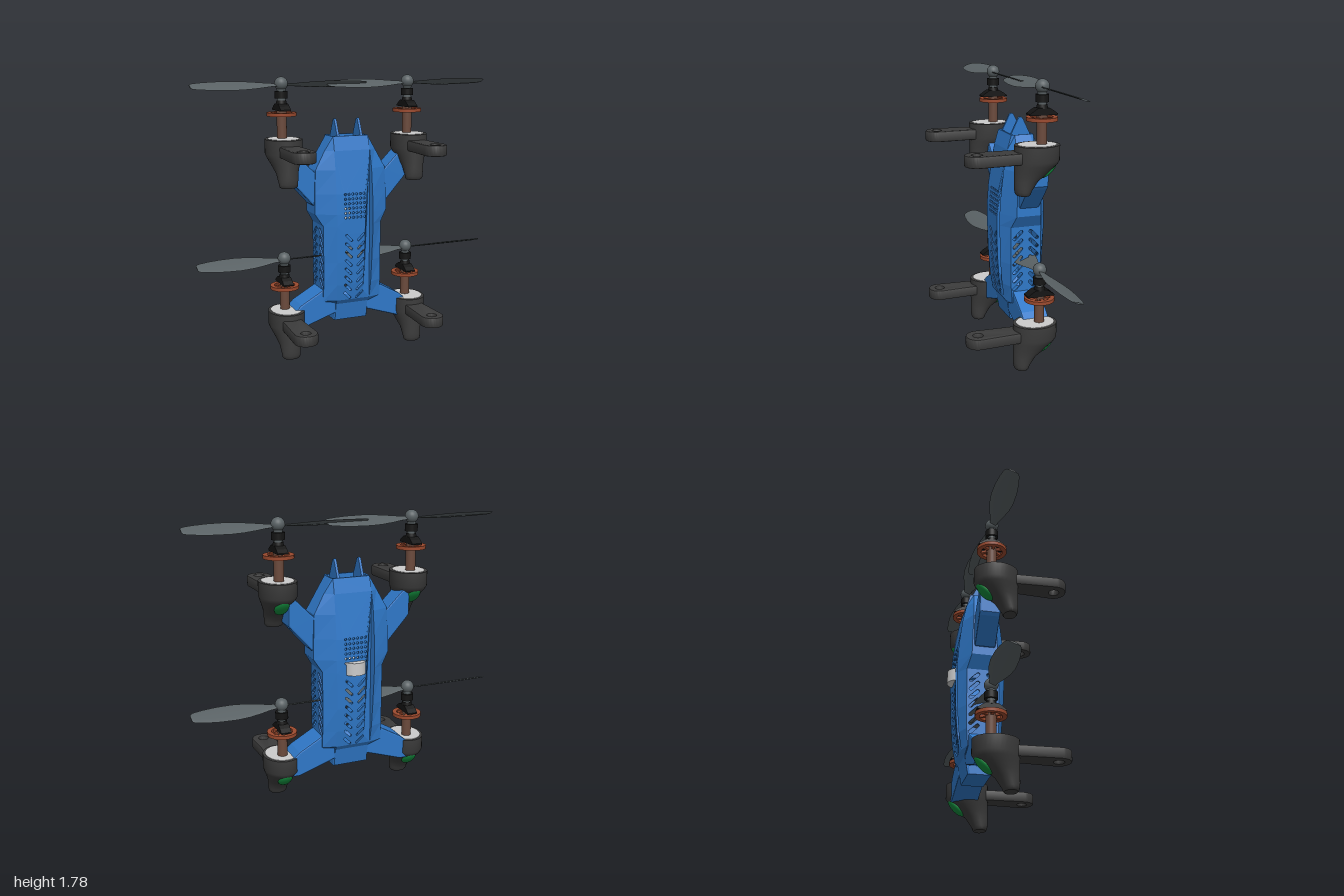
import * as THREE from 'three';
import { toCreasedNormals } from 'three/addons/utils/BufferGeometryUtils.js';

const mat = (color, double) => new THREE.MeshStandardMaterial({ color, side: double ? THREE.DoubleSide : THREE.FrontSide });
const BLUE = mat(0x2f78c8, true), DARK = mat(0x3c3c3c), BROWN = mat(0x6b4a3c), COPPER = mat(0x9c4a2e),
  BLACK = mat(0x141414), SLATE = mat(0x596164, true), GREEN = mat(0x128a3c), GREY = mat(0xcccccc);
const ZC = -0.145; // depth of the body and rotor centre plane

function add(parent, name, geo, material, x = 0, y = 0, z = 0) {
  const m = new THREE.Mesh(geo, material);
  m.name = name;
  m.position.set(x, y, z);
  parent.add(m);
  return m;
}

// Skin between rings of [x, y, z] points, with end caps; skip(i, j) leaves a face out
function loft(rings, crease = 0, skip = () => false) {
  const pos = [], n = rings[0].length;
  const tri = (...p) => p.forEach(q => pos.push(...q));
  for (let i = 0; i < rings.length - 1; i++) for (let j = 0; j < n; j++) {
    if (skip(i, j)) continue;
    const k = (j + 1) % n, A = rings[i], B = rings[i + 1];
    tri(A[j], A[k], B[k]);
    tri(A[j], B[k], B[j]);
  }
  const a = rings[0], b = rings[rings.length - 1];
  for (let j = 1; j < n - 1; j++) {
    tri(a[0], a[j + 1], a[j]);
    tri(b[0], b[j], b[j + 1]);
  }
  const g = new THREE.BufferGeometry();
  g.setAttribute('position', new THREE.Float32BufferAttribute(pos, 3));
  g.computeVertexNormals();
  return crease ? toCreasedNormals(g, crease) : g;
}

const shapeOf = pts => new THREE.Shape(pts.map(p => new THREE.Vector2(...p)));
const extrude = (shape, depth, bevel = 0) => new THREE.ExtrudeGeometry(shape, {
  depth, curveSegments: 16, bevelEnabled: bevel > 0, bevelSize: bevel, bevelThickness: bevel, bevelOffset: -bevel, bevelSegments: 2 });

// Hull sections: y, half width of flat face, half width, half depth of side, half depth
const HULL = [
  [0.195, 0.112, 0.118, 0.06, 0.07], [0.31, 0.112, 0.118, 0.07, 0.09], [0.34, 0.115, 0.2, 0.09, 0.112],
  [0.45, 0.118, 0.2, 0.097, 0.13], [0.6, 0.12, 0.2, 0.1, 0.142], [0.84, 0.125, 0.2, 0.1, 0.15],
  [0.92, 0.125, 0.25, 0.08, 0.149], [1.05, 0.125, 0.247, 0.076, 0.14], [1.2, 0.125, 0.24, 0.07, 0.122],
  [1.32, 0.122, 0.174, 0.06, 0.098], [1.41, 0.12, 0.125, 0.05, 0.072]];
function hullAt(y, col) {
  const i = Math.max(1, HULL.findIndex(s => s[0] >= y - 1e-6));
  const a = HULL[i - 1], b = HULL[i];
  return THREE.MathUtils.lerp(a[col], b[col], (y - a[0]) / (b[0] - a[0]));
}

// Rounded vent slot
function slot(cx, cy, angle, len, r) {
  const pts = [];
  for (const end of [0, 1]) for (let k = 0; k <= 4; k++) {
    const t = end * Math.PI - Math.PI / 2 + k * Math.PI / 4;
    const u = (end ? -1 : 1) * (len / 2 - r) + r * Math.cos(t), v = r * Math.sin(t);
    pts.push(new THREE.Vector2(cx + u * Math.cos(angle) - v * Math.sin(angle), cy + u * Math.sin(angle) + v * Math.cos(angle)));
  }
  return new THREE.Path(pts);
}

// Perforated panel that follows the hull: outline from column w, offset from column d
function panel(y0, y1, w, d, holes) {
  const ys = HULL.map(s => s[0]).filter(y => y >= y0 && y <= y1);
  const shape = shapeOf([...ys.map(y => [hullAt(y, w), y]), ...ys.reverse().map(y => [-hullAt(y, w), y])]);
  shape.holes.push(...holes);
  const g = extrude(shape, 0.012), p = g.attributes.position;
  for (let i = 0; i < p.count; i++) p.setZ(i, p.getZ(i) - 0.012 + hullAt(p.getY(i), d));
  g.computeVertexNormals();
  return g;
}

function createBody() {
  const body = new THREE.Group();
  body.name = 'body';
  body.position.z = ZC;
  const rings = HULL.map(([y, a, W, s, h]) => [[-a, y, h], [a, y, h], [W, y, s], [W, y, -s], [a, y, -h], [-a, y, -h], [-W, y, -s], [-W, y, s]]);
  // the top cap sits in a shallow recess
  rings.push(rings[rings.length - 1].map(([x, y, z]) => [x * 0.9, y - 0.002, z * 0.85]));
  rings.push(rings[rings.length - 1].map(([x, y, z]) => [x, y - 0.04, z]));
  add(body, 'hull', loft(rings, 0, (i, j) => i >= 2 && i < 10 && (j % 4 === 0 || (i < 5 && j % 4 === 2))), BLUE);

  // front and back plates with dot grille and chevron vents
  const vents = [];
  for (let r = 0; r < 6; r++) for (let c = 0; c < 6; c++) vents.push(slot((c - 2.5) * 0.026, 0.895 + r * 0.03, 0, 0.0165, 0.008));
  for (let r = 0; r < 8; r++) for (const s of [-1, 1]) vents.push(slot(s * 0.042, 0.37 + r * 0.056, s * Math.PI / 4, 0.068, 0.0075));
  const plate = panel(0.34, 1.41, 1, 4, vents);
  add(body, 'frontPlate', plate, BLUE);
  add(body, 'backPlate', plate, BLUE).rotation.y = Math.PI;

  // side panels with slanted vents
  const slats = [];
  for (let r = 0; r < 7; r++) for (const s of [-1, 1]) slats.push(slot(s * 0.053, 0.45 + r * 0.056, -s * Math.PI / 4, 0.085, 0.011));
  const side = panel(0.34, 0.84, 3, 2, slats);
  for (const s of [-1, 1]) add(body, s > 0 ? 'leftSidePanel' : 'rightSidePanel', side, BLUE).rotation.y = s * Math.PI / 2;

  // top fins
  const fin = shapeOf([[-0.066, 1.34], [0.066, 1.34], [0.066, 1.4], [0.02, 1.495]]);
  fin.quadraticCurveTo(0, 1.535, -0.02, 1.495);
  fin.lineTo(-0.066, 1.4);
  for (const s of [-1, 1]) add(body, 'topFin', extrude(fin, 0.016), BLUE, s * 0.08 - 0.008).rotation.y = Math.PI / 2;

  // arms to the rotor pods
  const arms = [
    ['upperArm', 0.065, [[0.2, 0.97], [0.255, 0.975], [0.385, 1.12], [0.4, 1.14], [0.4, 1.31], [0.35, 1.295], [0.245, 1.19], [0.2, 1.17]]],
    ['lowerArm', 0.085, [[0.11, 0.25], [0.35, 0.17], [0.4, 0.17], [0.4, 0.285], [0.35, 0.33], [0.2, 0.415], [0.17, 0.4], [0.11, 0.33]]]];
  for (const [name, half, pts] of arms) for (const s of [-1, 1]) {
    const mirrored = s > 0 ? pts : pts.map(([x, y]) => [-x, y]).reverse();
    add(body, name, extrude(shapeOf(mirrored), half * 2 - 0.02, 0.01), BLUE, 0, 0, -half + 0.01);
  }

  // camera lens on the back
  add(body, 'lens', new THREE.CylinderGeometry(0.07, 0.07, 0.08, 32), GREY, 0, 0.86, -0.12);
  return body;
}

function createRotor() {
  const g = new THREE.Group();
  // pod, swept forward to a small foot: y, half width, back z, front z
  const pod = [[0.01, 0.05, -0.07, 0.008], [0.018, 0.058, -0.076, 0.014], [0.035, 0.06, -0.082, 0.018], [0.06, 0.064, -0.1, 0.02],
    [0.095, 0.068, -0.125, 0.02], [0.125, 0.078, -0.168, 0.02], [0.16, 0.092, -0.205, 0.02], [0.19, 0.106, -0.24, 0.02],
    [0.215, 0.115, -0.255, 0.02], [0.305, 0.115, -0.255, 0.02]];
  const oval = (y, rx, z0, z1, n = 32) => Array.from({ length: n }, (_, i) => {
    const t = i / n * Math.PI * 2;
    return [rx * Math.sin(t), y, (z0 + z1) / 2 + (z1 - z0) / 2 * Math.cos(t)];
  });
  add(g, 'pod', loft(pod.map(p => oval(...p)), 0.7), DARK);
  add(g, 'podCover', loft([oval(0.3, 0.097, -0.237, 0), oval(0.308, 0.097, -0.237, 0)], 0.7), GREY);

  // leg reaching forward, with a hole near its rounded end
  const leg = shapeOf([[-0.06, -0.06], [0.06, -0.06], [0.075, 0.25]]);
  leg.absarc(0, 0.25, 0.075, 0, Math.PI, false);
  leg.holes.push(new THREE.Path().absarc(0, 0.25, 0.03, 0, Math.PI * 2, true));
  add(g, 'leg', toCreasedNormals(extrude(leg, 0.05, 0.01).rotateX(Math.PI / 2), 0.5), DARK, 0, 0.26, 0);

  // green light on the sloping back of the pod
  const light = add(g, 'statusLight', new THREE.SphereGeometry(1, 24, 16), GREEN, 0, 0.155, -0.188);
  light.scale.set(0.045, 0.07, 0.025);
  light.rotation.x = -Math.PI / 4;

  // motor shaft, copper wheel and collars
  const cyl = (name, r0, r1, y0, y1, m) => add(g, name, new THREE.CylinderGeometry(r1, r0, y1 - y0, 24), m, 0, (y0 + y1) / 2, ZC);
  cyl('shaft', 0.031, 0.031, 0.3, 0.48, BROWN);
  const rim = new THREE.Shape().absarc(0, 0, 0.093, 0, Math.PI * 2, false);
  rim.holes.push(new THREE.Path().absarc(0, 0, 0.066, 0, Math.PI * 2, true));
  add(g, 'wheelRim', toCreasedNormals(extrude(rim, 0.022).rotateX(Math.PI / 2), 0.5), COPPER, 0, 0.467, ZC);
  for (let i = 0; i < 3; i++) add(g, 'wheelSpoke', new THREE.BoxGeometry(0.15, 0.016, 0.018), COPPER, 0, 0.456, ZC).rotation.y = i * Math.PI / 3;
  const yoke = shapeOf([[-0.086, 0.478], [0.086, 0.478], [0.086, 0.486], [0.06, 0.505], [0.035, 0.52], [-0.035, 0.52], [-0.06, 0.505], [-0.086, 0.486]]);
  add(g, 'yoke', extrude(yoke, 0.066).rotateY(Math.PI / 2), BLACK, -0.033, 0, ZC);
  cyl('lowerCollar', 0.035, 0.03, 0.515, 0.54, BLACK);
  cyl('neck', 0.025, 0.025, 0.535, 0.56, SLATE);
  cyl('upperCollar', 0.04, 0.04, 0.553, 0.597, BLACK);
  cyl('hub', 0.026, 0.032, 0.595, 0.645, SLATE);
  add(g, 'hubCap', new THREE.SphereGeometry(0.042, 24, 16), SLATE, 0, 0.643, ZC);

  // two pitched blades: distance from hub, half width
  const stations = [[0.02, 0.018], [0.08, 0.028], [0.14, 0.045], [0.22, 0.062], [0.3, 0.07], [0.4, 0.067], [0.48, 0.058], [0.54, 0.046], [0.56, 0.036], [0.566, 0.022]];
  const blade = loft(stations.map(([x, w]) => Array.from({ length: 12 }, (_, i) => {
    const t = i / 12 * Math.PI * 2;
    return [x, 0.005 * Math.cos(t) + 0.34 * w * Math.sin(t), w * Math.sin(t)];
  })), 0.8);
  for (const turn of [0, Math.PI]) add(g, 'propellerBlade', blade, SLATE, 0, 0.635, ZC).rotation.y = turn;
  return g;
}

export function createModel() {
  const model = new THREE.Group();
  model.name = 'drone';
  model.add(createBody());
  for (const [row, y] of [['lower', 0], ['upper', 1.1]]) for (const s of [-1, 1]) {
    const rotor = createRotor();
    rotor.name = row + (s > 0 ? 'LeftRotor' : 'RightRotor');
    rotor.position.set(s * 0.434, y - 0.01 * (y === 0), 0);
    model.add(rotor);
  }
  return model;
}
